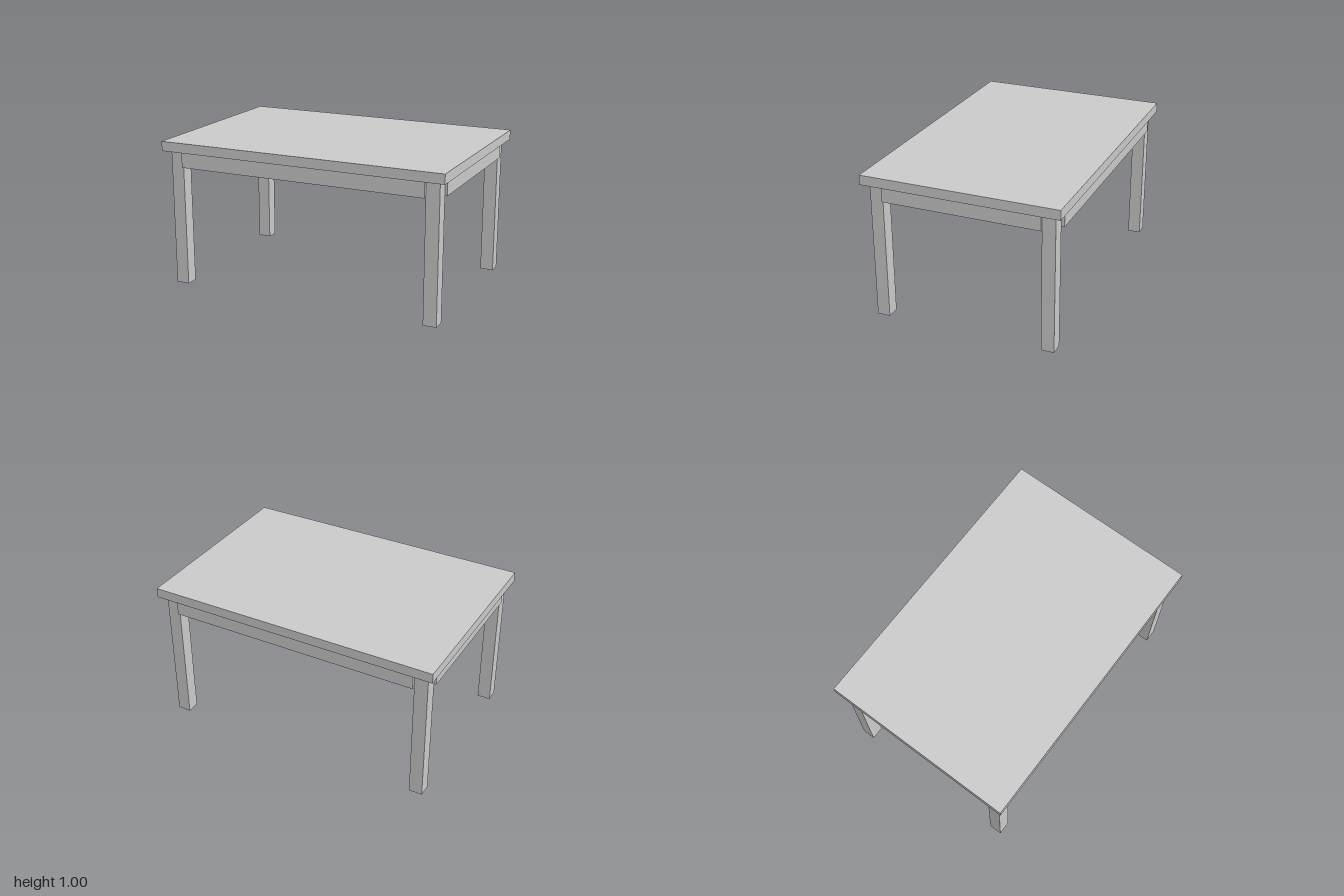
import * as THREE from 'three';

export function createModel() {
  const table = new THREE.Group();
  table.name = 'table';
  const material = new THREE.MeshStandardMaterial({ color: 0xcccccc, flatShading: true });

  // Box given by its size, centre x/z and bottom height
  const addBox = (name, [w, h, d], x, bottom, z) => {
    const mesh = new THREE.Mesh(new THREE.BoxGeometry(w, h, d), material);
    mesh.name = name;
    mesh.position.set(x, bottom + h / 2, z);
    table.add(mesh);
  };

  const topBottom = 0.937, topThickness = 0.066;
  const legW = 0.091, legD = 0.088, legX = 0.909, legZ = 0.577;
  const apronBottom = 0.83, apronThickness = 0.045;
  const apronHeight = topBottom - apronBottom;

  // Table top
  addBox('tableTop', [2, topThickness, 1.334], 0, topBottom, 0);

  // Four square legs
  for (const [sideX, xName] of [[1, 'Left'], [-1, 'Right']])
    for (const [sideZ, zName] of [[1, 'front'], [-1, 'back']])
      addBox(`${zName}${xName}Leg`, [legW, topBottom, legD], sideX * legX, 0, sideZ * legZ);

  // Aprons run between the legs and stand slightly proud of them
  for (const side of [1, -1]) {
    addBox(side > 0 ? 'frontApron' : 'backApron',
      [2 * legX - legW, apronHeight, apronThickness], 0, apronBottom, side * (0.642 - apronThickness / 2));
    addBox(side > 0 ? 'leftApron' : 'rightApron',
      [apronThickness, apronHeight, 2 * legZ - legD], side * (0.97 - apronThickness / 2), apronBottom, 0);
  }
  return table;
}
